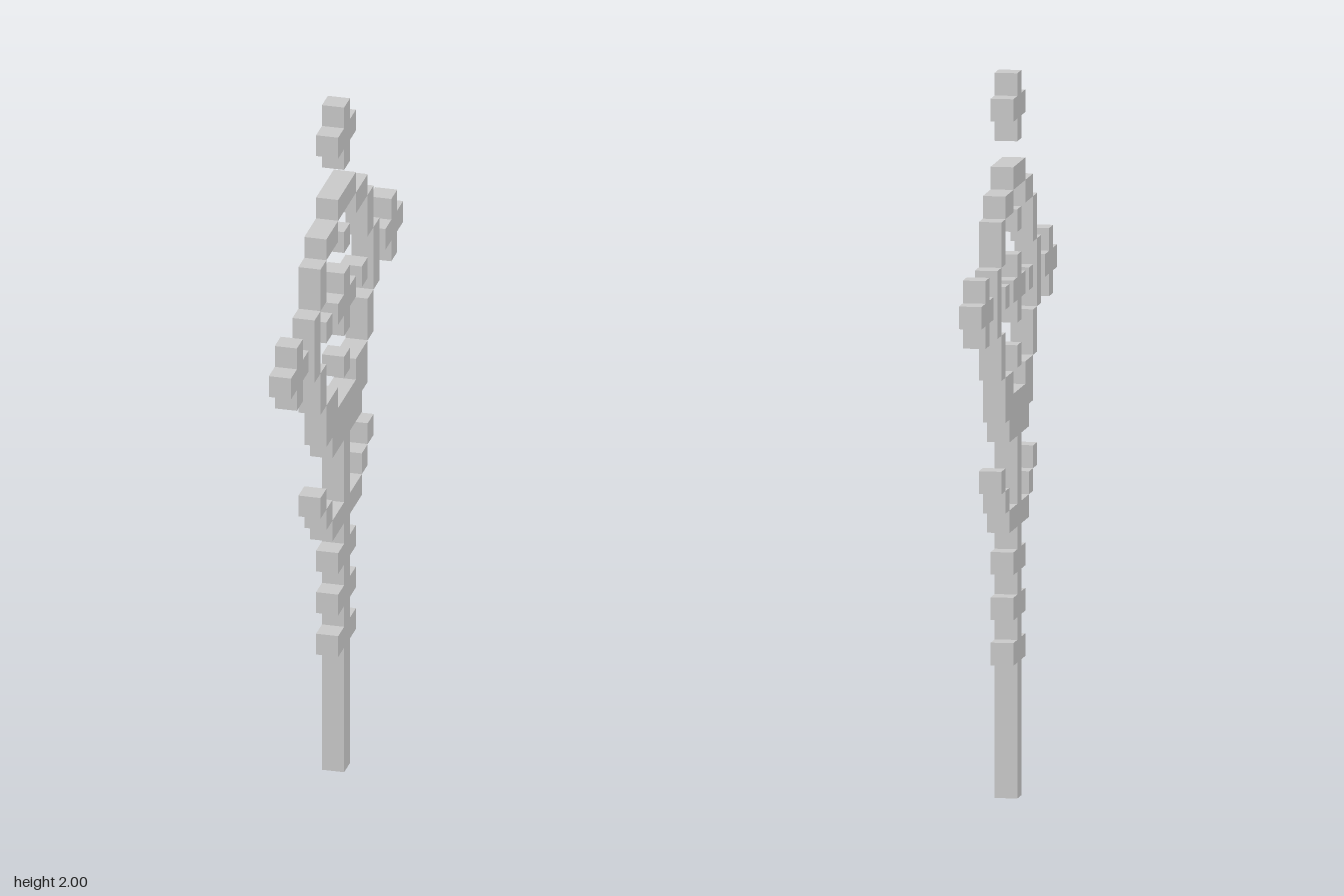
import * as THREE from 'three';

const U = 2 / 32; // one block; the model is 32 blocks tall, 19 long, 1 thick
const material = new THREE.MeshStandardMaterial({ color: 0xcccccc, flatShading: true });

// One-block-thick slab from the right half of a symmetric outline, [z, y] in blocks
function slab(name, half, z = 0, y = 0) {
  const left = half.map(([a, b]) => [-a, b]).reverse();
  const shape = new THREE.Shape([...half, ...left].map(([a, b]) => new THREE.Vector2(a * U, b * U)));
  const geometry = new THREE.ExtrudeGeometry(shape, { depth: U, bevelEnabled: false });
  geometry.translate(0, 0, -U / 2).rotateY(Math.PI / 2);
  const mesh = new THREE.Mesh(geometry, material);
  mesh.name = name;
  mesh.position.set(0, y * U, z * U);
  return mesh;
}

// Box centred on column z, with its bottom on row y
function block(name, z, y, length = 1, height = 1) {
  const mesh = new THREE.Mesh(new THREE.BoxGeometry(U, height * U, length * U), material);
  mesh.name = name;
  mesh.position.set(0, (y + height / 2) * U, z * U);
  return mesh;
}

// Plus sign, three blocks across, centred on column z and row y
const plus = (name, z, y) => slab(name,
  [[0.5, -1], [0.5, 0], [1.5, 0], [1.5, 1], [0.5, 1], [0.5, 2]], z, y);

export function createModel() {
  const model = new THREE.Group();
  model.name = 'staff';

  // Shaft with three grip bars, a guard and the notched cup under the ring
  const outline = [[0.5, 0]];
  for (const row of [6, 8, 10]) {
    outline.push([0.5, row], [1.5, row], [1.5, row + 1], [0.5, row + 1]);
  }
  outline.push([0.5, 12], [2.5, 12], [2.5, 13], [0.5, 13]);
  outline.push([0.5, 16], [2.5, 16], [2.5, 17], [3.5, 17], [3.5, 19], [1.5, 19], [1.5, 18]);
  model.add(slab('shaftAndCup', outline));

  // Ring top, then the mirrored ring sides, guard tips and inner studs
  model.add(block('ringTop', 0, 27, 3, 1));
  for (const s of [-1, 1]) {
    const side = s > 0 ? 'front' : 'back';
    model.add(
      block(side + 'RingShoulder', s * 2.5, 26, 2, 1),
      block(side + 'RingUpper', s * 4, 24, 1, 2),
      block(side + 'RingSide', s * 5, 21, 1, 3),
      block(side + 'RingLower', s * 4, 19, 1, 2),
      block(side + 'GuardInner', s * 3, 13),
      block(side + 'GuardTip', s * 4, 14),
      block(side + 'Stud', s * 3, 22),
      plus(side + 'Cross', s * 8, 22),
    );
  }

  // Centre and top pieces
  model.add(
    block('lowerStud', 0, 19),
    block('upperStud', 0, 25),
    plus('centreCross', 0, 22),
    plus('topCross', 0, 30),
  );
  return model;
}
